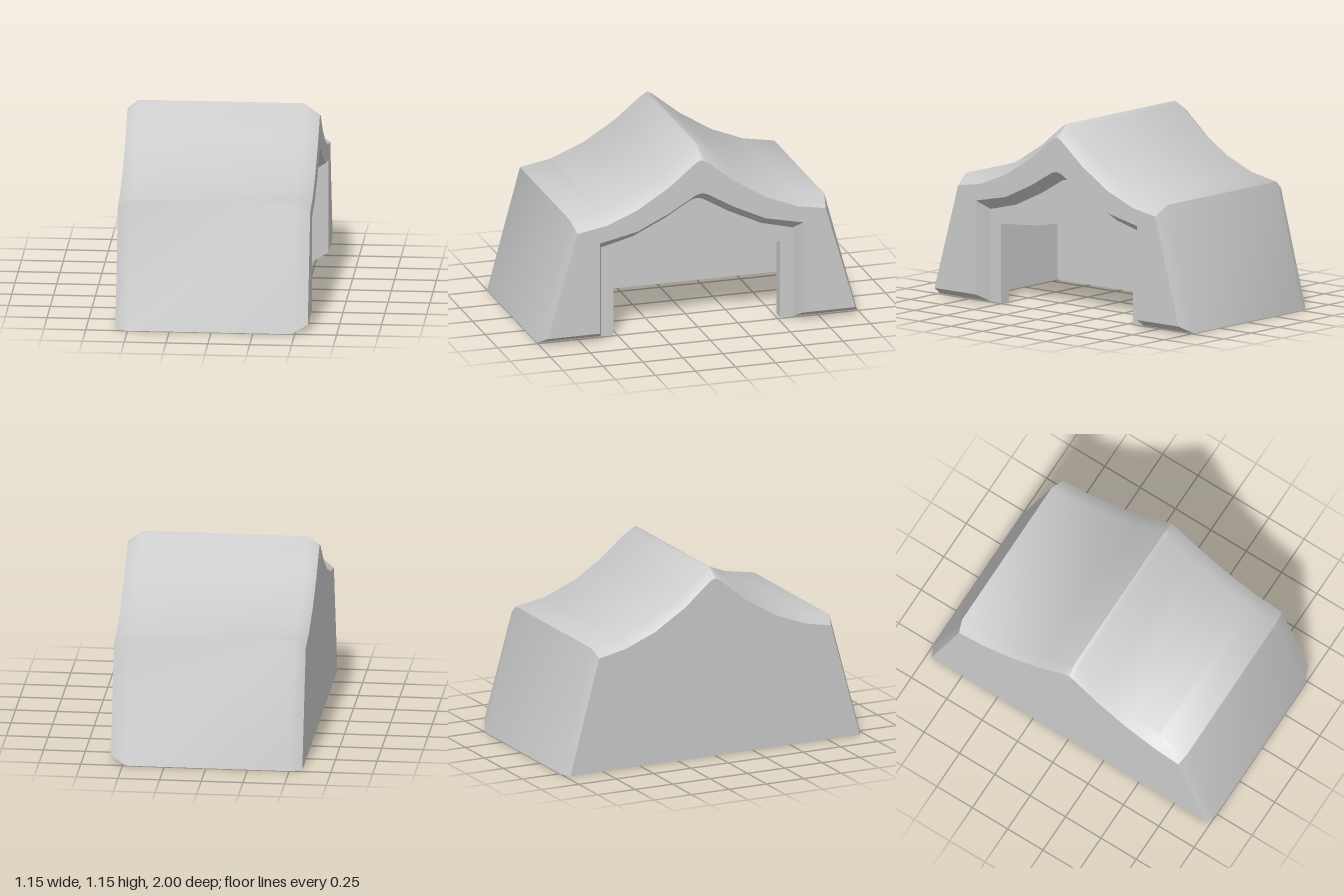
import * as THREE from 'three';
import { toCreasedNormals } from 'three/addons/utils/BufferGeometryUtils.js';

// Half cross-sections as [z, y], from the foot up to the ridge
const full = [[1, 0], [0.795, 0.755], [0.6, 0.79], [0.4, 0.87], [0.2, 0.995], [0.035, 1.13], [0, 1.15]];
const backEdge = [[0.967, 0], [0.775, 0.705], [0.6, 0.74], [0.4, 0.82], [0.2, 0.945], [0.035, 1.085], [0, 1.1]];
const frontEdge = [[0.96, 0.05], [0.775, 0.695], [0.6, 0.725], [0.4, 0.805], [0.2, 0.93], [0.035, 1.065], [0, 1.08]];
const archOuter = [[0.635, 0.05], [0.635, 0.62], [0.6, 0.627], [0.4, 0.67], [0.2, 0.765], [0.035, 0.862], [0, 0.87]];
const archInner = [[0.6, 0], [0.6, 0.56], [0.57, 0.567], [0.4, 0.61], [0.2, 0.705], [0.035, 0.802], [0, 0.81]];
const doorway = [[0.52, 0], [0.52, 0.48], [0.46, 0.485], [0.35, 0.493], [0.2, 0.508], [0.035, 0.545], [0, 0.552]];
const hollow = doorway.map(([z, y]) => [z * 0.757 / 0.52, y]);
const flat = (half) => half.map(([z]) => [z, 0]);

// Full ring at a given x, running from the +z foot over the ridge to the -z foot
function ring(x, half) {
  const other = half.slice(0, -1).reverse().map(([z, y]) => [-z, y]);
  return [...half, ...other].map(([z, y]) => new THREE.Vector3(x, y, z));
}

// Mesh from a list of triangles, leaving out empty ones
function meshFrom(name, triangles, material) {
  const points = triangles.filter((t) => new THREE.Triangle(...t).getArea() > 1e-7).flat();
  const geometry = toCreasedNormals(new THREE.BufferGeometry().setFromPoints(points), 0.7);
  const mesh = new THREE.Mesh(geometry, material);
  mesh.name = name;
  return mesh;
}

// Skin stretched over consecutive rings
function loft(name, rings, material) {
  const triangles = [];
  for (let i = 0; i < rings.length - 1; i++) {
    const a = rings[i], b = rings[i + 1];
    for (let j = 0; j < a.length - 1; j++) {
      triangles.push([a[j], b[j], b[j + 1]], [a[j], b[j + 1], a[j + 1]]);
    }
  }
  return meshFrom(name, triangles, material);
}

export function createModel() {
  const group = new THREE.Group();
  const material = new THREE.MeshStandardMaterial({ color: 0xcccccc });

  // Closed back wall, curved roof and the rim around the entrance
  group.add(loft('outerShell', [
    ring(-0.575, flat(backEdge)), ring(-0.575, backEdge), ring(-0.51, full),
    ring(0.48, full), ring(0.575, frontEdge), ring(0.575, archOuter),
  ], material));

  // Bevelled arch stepping in to the smaller doorway
  group.add(loft('entranceArch', [
    ring(0.575, archOuter), ring(0.48, archInner), ring(0.48, doorway), ring(0.405, doorway),
  ], material));

  // Hollow room behind the doorway, open below
  group.add(loft('innerRoom', [
    ring(0.405, doorway), ring(0.405, hollow), ring(-0.31, hollow), ring(-0.31, flat(hollow)),
  ], material));

  // Flat rim on the ground
  const half = [[-0.575, 0.967], [-0.51, 1], [0.48, 1], [0.48, 0.52], [0.405, 0.52], [0.405, 0.757], [-0.31, 0.757]];
  const outline = [...half, ...half.map(([x, z]) => [x, -z]).reverse()].map((p) => new THREE.Vector2(...p));
  const base = new THREE.Mesh(new THREE.ShapeGeometry(new THREE.Shape(outline)).rotateX(Math.PI / 2), material);
  base.name = 'baseRim';
  group.add(base);

  // Sloped undersides of the two front feet
  const feet = [];
  for (const s of [1, -1]) {
    const [a, b, c, d] = [[0.48, 0, 1], [0.575, 0.05, 0.96], [0.575, 0.05, 0.635], [0.48, 0, 0.6]]
      .map(([x, y, z]) => new THREE.Vector3(x, y, s * z));
    feet.push(...(s > 0 ? [[a, c, b], [a, d, c]] : [[a, b, c], [a, c, d]]));
  }
  group.add(meshFrom('frontFootBevels', feet, material));

  return group;
}
